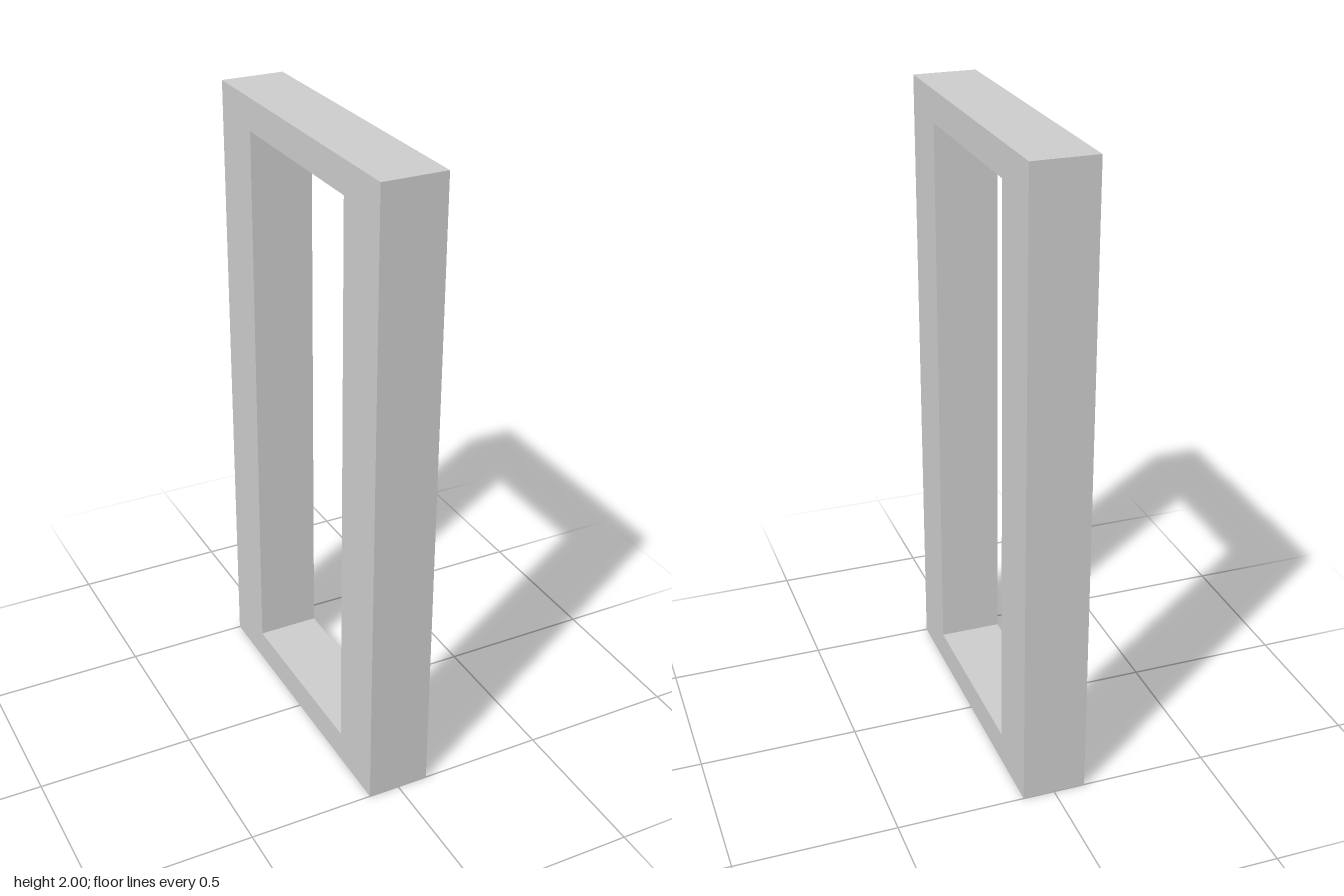
import * as THREE from 'three';

const WIDTH = 1, HEIGHT = 2, DEPTH = 0.2; // outer size of the frame
const STILE = 0.2, RAIL = 0.1; // upright and crossbar thickness

// Rectangle centred on x = 0, from y0 to y1
function rectangle(Type, width, y0, y1) {
  const h = width / 2;
  return new Type([[-h, y0], [h, y0], [h, y1], [-h, y1]].map(([x, y]) => new THREE.Vector2(x, y)));
}

export function createModel() {
  const group = new THREE.Group();
  group.name = 'rectangularFrame';

  // Upright frame with one rectangular opening, extruded along x
  const outline = rectangle(THREE.Shape, WIDTH, 0, HEIGHT);
  outline.holes.push(rectangle(THREE.Path, WIDTH - 2 * STILE, RAIL, HEIGHT - RAIL));
  const geometry = new THREE.ExtrudeGeometry(outline, { depth: DEPTH, bevelEnabled: false });
  geometry.translate(0, 0, -DEPTH / 2).rotateY(Math.PI / 2);

  const frame = new THREE.Mesh(
    geometry,
    new THREE.MeshStandardMaterial({ color: 0xcccccc, flatShading: true })
  );
  frame.name = 'frame';
  group.add(frame);
  return group;
}
